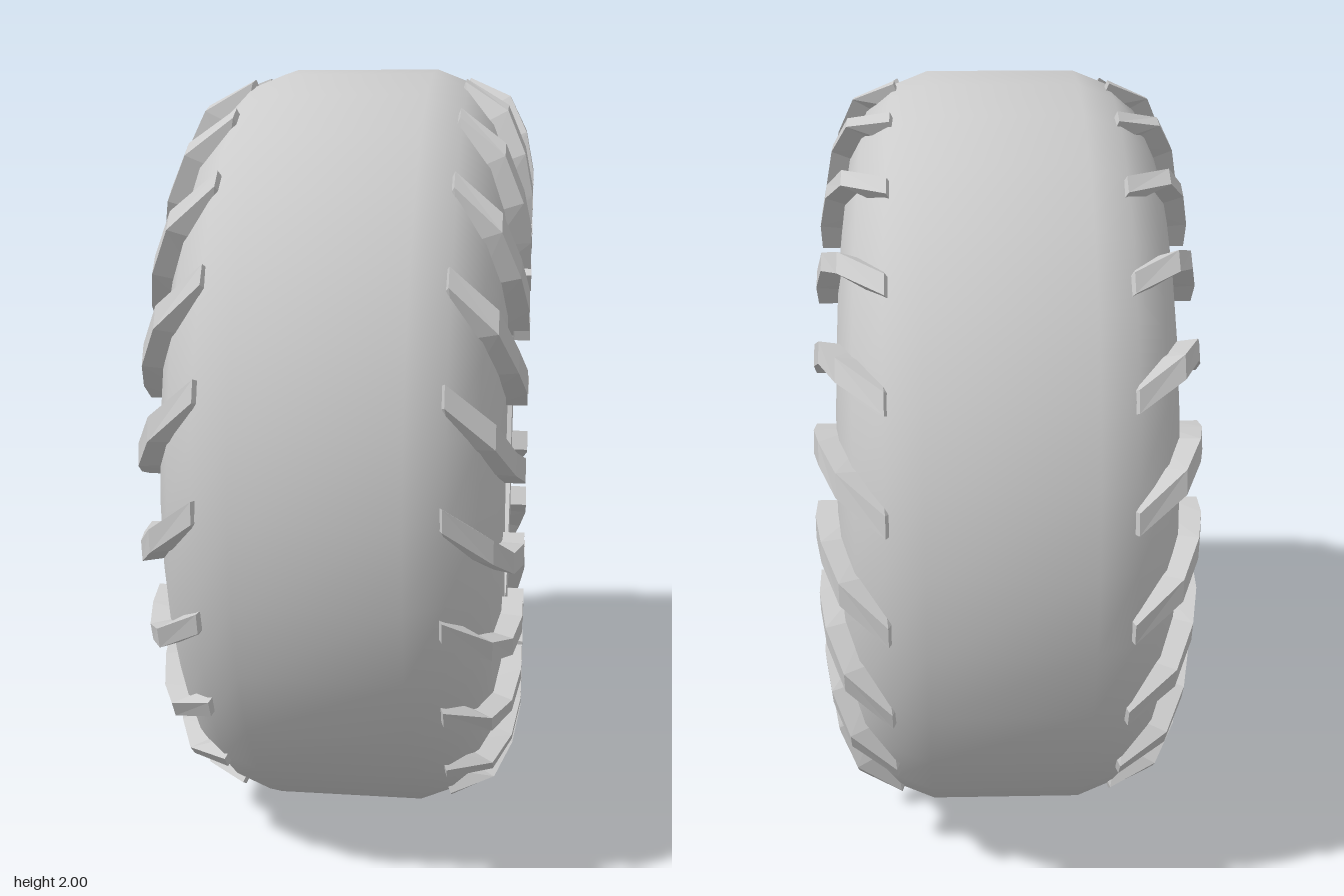
import * as THREE from 'three';
import { toCreasedNormals } from 'three/addons/utils/BufferGeometryUtils.js';

const LUGS = 23;
const RIM = 32;

// Lug stations from the side wall to the tread:
// [top x, top radius, base x, base radius, sweep in degrees, half width]
const LUG_PATH = [
  [0.45, 0.67, 0.37, 0.67, 0, 0.031],
  [0.45, 0.74, 0.36, 0.73, 0.8, 0.027],
  [0.43, 0.84, 0.33, 0.80, 2.5, 0.026],
  [0.385, 0.93, 0.29, 0.88, 6.5, 0.028],
  [0.275, 0.982, 0.25, 0.92, 11.5, 0.026],
];

export function createModel() {
  const group = new THREE.Group();
  const material = new THREE.MeshStandardMaterial({ color: 0xcccccc });
  const flat = new THREE.MeshStandardMaterial({ color: 0xcccccc, flatShading: true });

  const add = (name, geometry, mat = material) => {
    const mesh = new THREE.Mesh(geometry, mat);
    mesh.name = name;
    mesh.position.y = 1;
    group.add(mesh);
  };

  // Surface of revolution about the x axis; points are [radius, x]
  const turned = (points, segments, crease = 0.6) => {
    const lathe = new THREE.LatheGeometry(points.map(([r, x]) => new THREE.Vector2(r, x)), segments);
    lathe.rotateZ(-Math.PI / 2);
    return toCreasedNormals(lathe, crease);
  };

  // Flat polygonal ring at x, facing +x or -x
  const polygon = (radius, sides) => Array.from({ length: sides }, (_, i) => {
    const a = (i / sides) * Math.PI * 2;
    return new THREE.Vector2(radius * Math.cos(a), radius * Math.sin(a));
  });
  const ring = (outer, outerSides, inner, innerSides, x, side) => {
    const shape = new THREE.Shape(polygon(outer, outerSides));
    shape.holes.push(new THREE.Path(polygon(inner, innerSides)));
    const geometry = new THREE.ShapeGeometry(shape);
    geometry.rotateY(side * Math.PI / 2);
    geometry.translate(x, 0, 0);
    return geometry;
  };

  // Tyre: rounded shoulders and a broad flat tread
  const shoulder = [[0.72, 0.4], [0.82, 0.385], [0.9, 0.35], [0.965, 0.28], [1, 0.19]];
  const tyre = [
    ...shoulder.map(([r, x]) => [r, -x]),
    ...shoulder.slice().reverse(),
  ];
  add('tyre', turned(tyre, RIM));

  // Outer side: flat wall, recess and hub plate
  add('outerSideWall', ring(0.72, RIM, 0.46, 12, 0.4, 1));
  add('recessWall', turned([[0.46, 0.4], [0.46, 0.245]], 12, 0.2));
  add('hubFront', ring(0.46, 12, 0.16, 10, 0.245, 1));
  add('axleHole', turned([[0.16, 0.245], [0.16, -0.07]], 10, 0.2));

  // Inner side: hub back, deep bowl and narrow side wall
  add('hubBack', ring(0.45, RIM, 0.16, 10, -0.07, -1));
  add('innerBowl', turned([[0.45, -0.07], [0.56, -0.1], [0.62, -0.18], [0.63, -0.28], [0.58, -0.4]], RIM, 0.9));
  add('innerSideWall', ring(0.72, RIM, 0.58, RIM, -0.4, -1));

  // Curved lugs swept over both shoulders
  for (const side of [1, -1]) {
    for (let i = 0; i < LUGS; i++) {
      const start = -6.5 + (i * 360) / LUGS;
      add(side > 0 ? 'outerLug' : 'innerLug', lugGeometry(side, start), flat);
    }
  }
  return group;
}

// Loft of four-cornered sections along the lug path
function lugGeometry(side, start) {
  const positions = [];
  const index = [];
  const put = (x, r, angle) => positions.push(side * x, r * Math.cos(angle), -r * Math.sin(angle));
  const quad = (a, b, c, d) => index.push(...(side > 0 ? [a, b, c, a, c, d] : [a, c, b, a, d, c]));

  for (const [topX, topR, baseX, baseR, sweep, half] of LUG_PATH) {
    const angle = THREE.MathUtils.degToRad(start + sweep);
    const spread = half / topR;
    put(topX, topR, angle - spread);
    put(topX, topR, angle + spread);
    put(baseX, baseR, angle + spread);
    put(baseX, baseR, angle - spread);
  }
  const last = (LUG_PATH.length - 1) * 4;
  for (let s = 0; s < last; s += 4) {
    for (let k = 0; k < 4; k++) {
      const n = (k + 1) % 4;
      quad(s + k, s + n, s + 4 + n, s + 4 + k);
    }
  }
  quad(3, 2, 1, 0);
  quad(last, last + 1, last + 2, last + 3);

  const geometry = new THREE.BufferGeometry();
  geometry.setAttribute('position', new THREE.Float32BufferAttribute(positions, 3));
  geometry.setIndex(index);
  const faceted = geometry.toNonIndexed();
  faceted.computeVertexNormals();
  return faceted;
}
